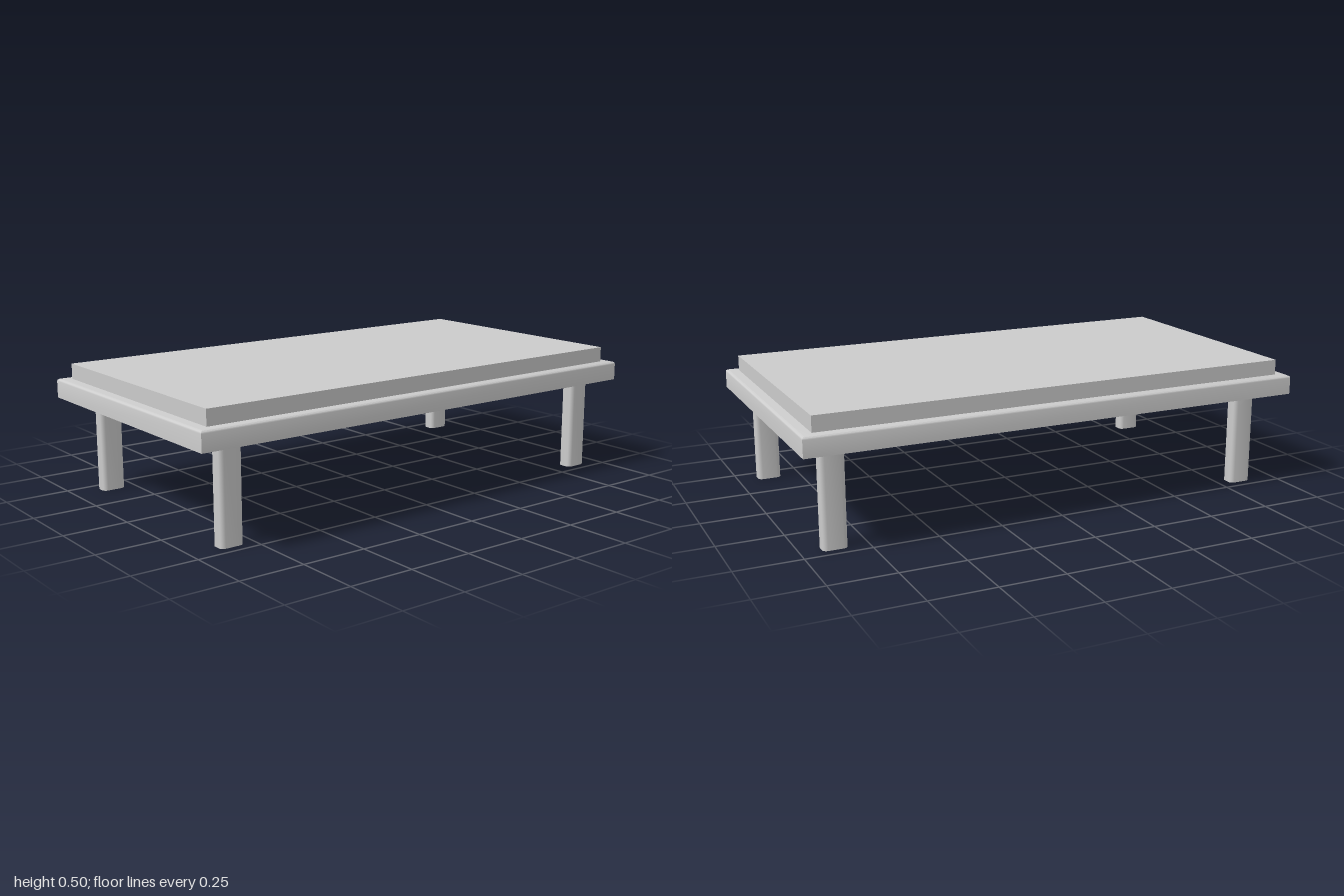
import * as THREE from 'three';
import { toCreasedNormals } from 'three/addons/utils/BufferGeometryUtils.js';

const material = new THREE.MeshStandardMaterial({ color: 0xcccccc });

function addPart(group, name, geometry, x, y, z) {
  const mesh = new THREE.Mesh(geometry, material);
  mesh.name = name;
  mesh.position.set(x, y, z);
  group.add(mesh);
}

// Box standing on y = 0 with its upper edges rounded by radius r
function roundTopBox(w, h, d, r) {
  const steps = 3;
  const geometry = new THREE.BoxGeometry(w, h, d, 1, steps + 1, 1);
  const p = geometry.attributes.position;
  for (let i = 0; i < p.count; i++) {
    const row = Math.round((0.5 - p.getY(i) / h) * (steps + 1));
    if (row > steps) {
      p.setY(i, 0);
      continue;
    }
    const a = (row / steps) * Math.PI / 2;
    const inset = r * (1 - Math.sin(a));
    p.setXYZ(i,
      Math.sign(p.getX(i)) * (w / 2 - inset),
      h - r * (1 - Math.cos(a)),
      Math.sign(p.getZ(i)) * (d / 2 - inset));
  }
  return toCreasedNormals(geometry, 0.7);
}

// Upright post standing on y = 0 with rounded corners in plan
function roundedPost(w, h, d, r) {
  const x = w / 2, y = d / 2;
  const shape = new THREE.Shape();
  shape.absarc(x - r, y - r, r, 0, Math.PI / 2);
  shape.absarc(-x + r, y - r, r, Math.PI / 2, Math.PI);
  shape.absarc(-x + r, -y + r, r, Math.PI, Math.PI * 1.5);
  shape.absarc(x - r, -y + r, r, Math.PI * 1.5, Math.PI * 2);
  shape.closePath();
  const geometry = new THREE.ExtrudeGeometry(shape, { depth: h, bevelEnabled: false, curveSegments: 2 });
  geometry.rotateX(-Math.PI / 2);
  return toCreasedNormals(geometry, 0.9);
}

export function createModel() {
  const group = new THREE.Group();
  group.name = 'lowTable';

  // Table top and the raised panel on it
  addPart(group, 'tableTop', roundTopBox(2, 0.075, 1.082, 0.01), 0, 0.37, 0);
  addPart(group, 'raisedPanel', new THREE.BoxGeometry(1.91, 0.061, 1.0), 0, 0.4745, 0);

  // Four legs, the left pair set a little further out
  const leg = roundedPost(0.093, 0.37, 0.058, 0.018);
  for (const [side, x] of [['Right', -0.841], ['Left', 0.875]]) {
    for (const [end, z] of [['front', 0.435], ['back', -0.435]]) {
      addPart(group, `${end}${side}Leg`, leg, x, 0, z);
    }
  }
  return group;
}
